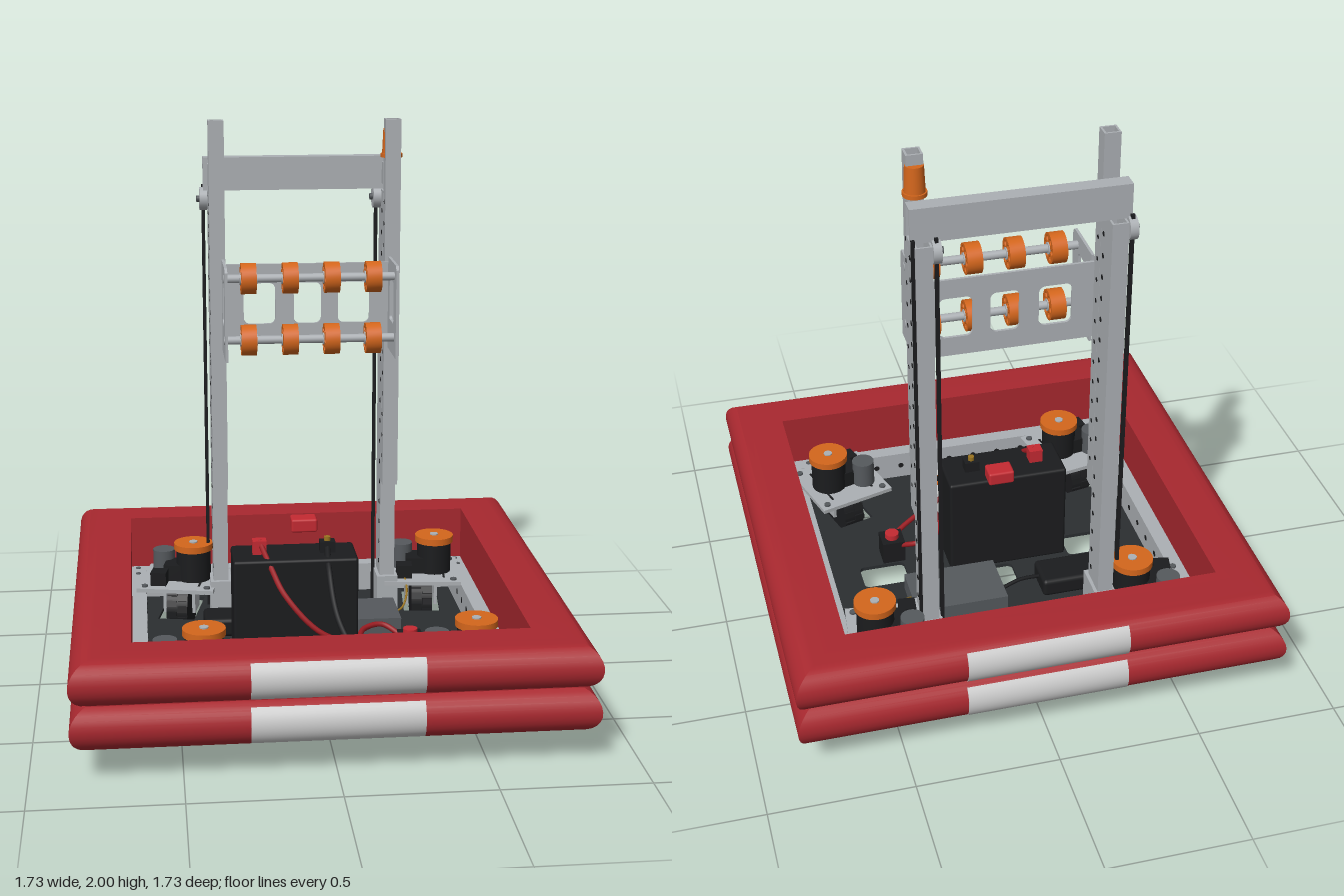
import * as THREE from 'three';
import { toCreasedNormals } from 'three/addons/utils/BufferGeometryUtils.js';
import { RoundedBoxGeometry } from 'three/addons/geometries/RoundedBoxGeometry.js';

const mat = (color) => new THREE.MeshStandardMaterial({ color });
const METAL = mat(0xacb0b4), SILVER = mat(0xcccccc), RED = mat(0xa8282f), ORANGE = mat(0xd4661c);
const BLACK = mat(0x1b1c1e), PAN = mat(0x2b2e31), SLATE = mat(0x55595d), WIRE_RED = mat(0x9c1c22);
const SIGNAL_RED = mat(0xc42a32), YELLOW = mat(0x9a7420), WHITE = mat(0xe8e8e8);

function add(parent, name, geo, material, x = 0, y = 0, z = 0) {
  const m = new THREE.Mesh(geo, material);
  m.name = name;
  m.position.set(x, y, z);
  parent.add(m);
  return m;
}
// box given by its lower and upper corners
function span(parent, name, material, x0, x1, y0, y1, z0, z1) {
  return add(parent, name, new THREE.BoxGeometry(x1 - x0, y1 - y0, z1 - z0), material,
    (x0 + x1) / 2, (y0 + y1) / 2, (z0 + z1) / 2);
}
const cyl = (r, h, n = 32, r2 = r) => new THREE.CylinderGeometry(r2, r, h, n);
const cylX = (r, h, n = 24) => cyl(r, h, n).rotateZ(Math.PI / 2);

// rectangle outline, turned by angle a about its centre
function rect(Type, cx, cy, w, h, a = 0) {
  const pts = [[-1, -1], [1, -1], [1, 1], [-1, 1]].map(([i, j]) =>
    new THREE.Vector2(i * w / 2, j * h / 2).rotateAround(new THREE.Vector2(), a).add(new THREE.Vector2(cx, cy)));
  return new Type(pts);
}
function roundRect(cx, cy, w, h, r) {
  const p = new THREE.Path();
  [[1, 1, 0], [-1, 1, 1], [-1, -1, 2], [1, -1, 3]].forEach(([i, j, q]) =>
    p.absarc(cx + i * (w / 2 - r), cy + j * (h / 2 - r), r, q * Math.PI / 2, (q + 1) * Math.PI / 2));
  p.closePath();
  return p;
}
const extrude = (shape, depth) => new THREE.ExtrudeGeometry(shape, { depth, bevelEnabled: false, curveSegments: 6 });
// hollow rectangular tube running along z
function tubeGeo(w, h, len, wall = 0.007) {
  const s = rect(THREE.Shape, 0, 0, w, h);
  s.holes.push(rect(THREE.Path, 0, 0, w - 2 * wall, h - 2 * wall));
  return extrude(s, len);
}
function wire(parent, name, material, r, pts) {
  const curve = new THREE.CatmullRomCurve3(pts.map((p) => new THREE.Vector3(...p)));
  add(parent, name, new THREE.TubeGeometry(curve, 32, r, 8), material);
}

// corner drive units: centre x, centre z, turn
const DRIVES = [[-0.47, -0.47, -0.2], [0.47, -0.47, -0.1], [-0.465, 0.46, 0.19], [0.47, 0.465, 0.29]];

function buildBumper(root) {
  const g = new THREE.Group();
  g.name = 'bumper';
  root.add(g);
  const arc = (cy, a0, a1, grow = 0) => Array.from({ length: 13 }, (_, i) => {
    const a = THREE.MathUtils.degToRad(a0 + (a1 - a0) * i / 12);
    return new THREE.Vector2(0.785 + (0.078 + grow) * Math.cos(a), cy + (0.078 + grow) * Math.sin(a));
  });
  // padded ring: the section is swept around a square with mitred corners
  const profile = [new THREE.Vector2(0.66, 0.105), ...arc(0.183, -90, 72), ...arc(0.334, -72, 90),
    new THREE.Vector2(0.66, 0.412), new THREE.Vector2(0.66, 0.105)];
  profile.forEach((p) => { p.x *= Math.SQRT2; });
  const ring = new THREE.LatheGeometry(profile, 4, Math.PI / 4);
  add(g, 'bumperPadding', toCreasedNormals(ring, 0.6), RED);
  // pale panels on the front and back
  for (const turn of [0, Math.PI]) for (const cy of [0.183, 0.334]) {
    const outer = arc(cy, -50, 50, 0.003), inner = arc(cy, 50, -50, -0.004);
    const geo = toCreasedNormals(extrude(new THREE.Shape([...outer, ...inner]), 0.565), 0.5);
    geo.translate(0, 0, -0.2825).rotateY(-Math.PI / 2).rotateY(turn);
    add(g, 'bumperPanel', geo, SILVER);
  }
}

function buildChassis(root) {
  const g = new THREE.Group();
  g.name = 'chassis';
  root.add(g);
  const pan = rect(THREE.Shape, 0, 0, 1.32, 1.32);
  pan.holes.push(roundRect(-0.395, 0, 0.17, 0.12, 0.02), roundRect(0.395, 0, 0.17, 0.12, 0.02),
    roundRect(-0.03, 0.11, 0.11, 0.12, 0.02));
  for (const [x, z, a] of DRIVES) pan.holes.push(rect(THREE.Path, x, -z, 0.14, 0.25, a));
  add(g, 'bellyPan', extrude(pan, 0.014).rotateX(-Math.PI / 2), PAN, 0, 0.088, 0);
  for (const s of [-1, 1]) {
    add(g, 'frameSideRail', tubeGeo(0.055, 0.11, 1.32), METAL, s * 0.6325, 0.157, -0.66);
    add(g, 'frameCrossRail', tubeGeo(0.055, 0.11, 1.21).rotateY(Math.PI / 2), METAL, -0.605, 0.157, s * 0.6325);
    for (const t of [-1, 1]) for (const [x, z] of [[0.635, 0.635], [0.635, 0.57], [0.57, 0.635]])
      add(g, 'frameBolt', cyl(0.01, 0.004, 12), SLATE, s * x, 0.213, t * z);
    for (let i = -5; i <= 5; i++) {
      add(g, 'frameHole', cylX(0.011, 0.003, 10), BLACK, s * 0.605, 0.157, i * 0.1);
      add(g, 'frameHole', cyl(0.011, 0.003, 10).rotateX(Math.PI / 2), BLACK, i * 0.1, 0.157, s * 0.605);
    }
  }
}

function buildDrive(root, x, z, turn) {
  const g = new THREE.Group();
  g.name = 'driveUnit';
  g.position.set(x, 0, z);
  g.rotation.y = turn;
  root.add(g);
  span(g, 'drivePlate', METAL, -0.147, 0.147, 0.213, 0.228, -0.147, 0.147);
  for (const i of [-1, 1]) for (const j of [-1, 1]) {
    add(g, 'plateBolt', cyl(0.012, 0.008, 12), SLATE, i * 0.12, 0.231, j * 0.12);
    span(g, 'wheelFork', METAL, i * 0.056 - 0.006, i * 0.056 + 0.006, 0.1, 0.213, -0.05, 0.05);
  }
  for (const s of [-1, 1]) span(g, 'plateSlot', BLACK, s * 0.085 - 0.004, s * 0.085 + 0.004, 0.226, 0.2295, -0.1, 0.1);
  add(g, 'lowerRing', new THREE.RingGeometry(0.1, 0.118, 32).rotateX(Math.PI / 2), METAL, 0, 0.086, 0);
  // treaded wheel
  add(g, 'wheel', cylX(0.107, 0.08, 32), BLACK, 0, 0.112, 0);
  for (let i = 0; i < 16; i++) for (const s of [-1, 1]) {
    const a = (i + (s > 0 ? 0.5 : 0)) * Math.PI / 8;
    const tread = add(g, 'wheelTread', new THREE.BoxGeometry(0.038, 0.012, 0.024), BLACK,
      s * 0.021, 0.112 + 0.106 * Math.cos(a), 0.106 * Math.sin(a));
    tread.rotation.x = a;
  }
  // motors and sensor
  add(g, 'driveMotor', cyl(0.066, 0.125), BLACK, 0.05, 0.29, 0);
  add(g, 'driveMotorCap', cyl(0.074, 0.025), ORANGE, 0.05, 0.36, 0);
  add(g, 'driveMotorShaft', cyl(0.016, 0.006, 16), METAL, 0.05, 0.374, 0);
  span(g, 'motorBridge', BLACK, -0.06, 0.03, 0.228, 0.29, -0.05, 0.05);
  add(g, 'steerMotor', cyl(0.042, 0.1), SLATE, -0.075, 0.275, -0.05);
  span(g, 'sensorBox', BLACK, -0.1, -0.04, 0.228, 0.28, 0.05, 0.11);
}

function buildMast(root) {
  const g = new THREE.Group();
  g.name = 'mast';
  root.add(g);
  const upright = (w, d, h) => tubeGeo(w, d, h).rotateX(-Math.PI / 2);
  for (const s of [-1, 1]) {
    const x = s * 0.32;
    add(g, 'fixedUpright', upright(0.056, 0.112, 1.633), METAL, x, 0.102, -0.414);
    add(g, 'slidingUpright', upright(0.056, 0.056, 1.37), METAL, x, 0.63, -0.328);
    span(g, 'uprightFoot', METAL, x - 0.04, x + 0.04, 0.102, 0.25, -0.49, -0.34);
    for (let i = 0; i < 18; i++) {
      const y = 0.3 + i * 0.08;
      add(g, 'uprightHole', cylX(0.009, 0.059, 10), BLACK, x, y, -0.385);
      if (i > 4) add(g, 'uprightHole', cylX(0.008, 0.058, 10), BLACK, x, y + 0.04, -0.328);
    }
  }
  add(g, 'topCrossbar', tubeGeo(0.056, 0.12, 0.725).rotateY(Math.PI / 2), METAL, -0.365, 1.8, -0.418);
  span(g, 'crossbarBracket', METAL, -0.35, -0.29, 1.76, 1.84, -0.392, -0.354);
  span(g, 'crossbarBracket', METAL, 0.29, 0.35, 1.76, 1.84, -0.392, -0.354);
  // pulleys and lift belts
  for (const x of [-0.364, 0.277]) {
    add(g, 'pulley', cylX(0.042, 0.028), METAL, x, 1.705, -0.44);
    add(g, 'pulleyPin', cylX(0.012, 0.05, 12), SLATE, x, 1.705, -0.44);
  }
  for (const x of [-0.364, 0.277, 0.352])
    span(g, 'liftBelt', BLACK, x - 0.006, x + 0.006, 0.12, 1.755, -0.46, -0.446);
  // signal lamp
  add(g, 'lampBase', cyl(0.04, 0.014), ORANGE, 0.32, 1.867, -0.348);
  add(g, 'signalLamp', cyl(0.035, 0.092, 32, 0.031), ORANGE, 0.32, 1.918, -0.348);
}

function buildCarriage(root) {
  const g = new THREE.Group();
  g.name = 'rollerCarriage';
  root.add(g);
  const back = rect(THREE.Shape, 0, 1.345, 0.61, 0.29);
  for (const [x, w] of [[-0.172, 0.115], [0.003, 0.1], [0.172, 0.115]])
    back.holes.push(roundRect(x, 1.345, w, 0.15, 0.022));
  add(g, 'carriageBack', extrude(back, 0.01), METAL, 0, 0, -0.262);
  // side plates with chamfered corners, drawn as (-z, y)
  const side = new THREE.Shape([[0.04, 1.175], [0.25, 1.175], [0.25, 1.51], [0.055, 1.51], [0.04, 1.495]]
    .map((p) => new THREE.Vector2(...p)));
  side.holes.push(roundRect(0.155, 1.365, 0.1, 0.15, 0.012));
  for (const s of [-1, 1])
    add(g, 'carriageSide', extrude(side, 0.01).rotateY(Math.PI / 2), METAL, s * 0.303 - 0.005, 0, 0);
  // two shafts of soft rollers with spoked cut-outs
  const wheel = new THREE.Shape().absarc(0, 0, 0.055, 0, Math.PI * 2);
  for (let i = 0; i < 6; i++) {
    const a = i * Math.PI / 3;
    wheel.holes.push(new THREE.Path().absarc(0.036 * Math.cos(a), 0.036 * Math.sin(a), 0.011, 0, Math.PI * 2));
  }
  const roller = toCreasedNormals(new THREE.ExtrudeGeometry(wheel,
    { depth: 0.054, bevelEnabled: false, curveSegments: 16 }), 0.7).rotateY(Math.PI / 2).translate(-0.027, 0, 0);
  for (const y of [1.467, 1.245]) {
    add(g, 'rollerShaft', cylX(0.015, 0.62, 16), METAL, 0, y, -0.092);
    for (const x of [-0.222, -0.074, 0.074, 0.222]) {
      add(g, 'roller', roller, ORANGE, x, y, -0.092);
      add(g, 'rollerHub', cylX(0.022, 0.062, 16), METAL, x, y, -0.092);
    }
  }
}

function buildElectronics(root) {
  const g = new THREE.Group();
  g.name = 'electronics';
  root.add(g);
  add(g, 'battery', new RoundedBoxGeometry(0.446, 0.393, 0.19, 2, 0.01), BLACK, -0.075, 0.299, 0.05);
  add(g, 'redTerminal', new THREE.BoxGeometry(0.05, 0.05, 0.045), SIGNAL_RED, -0.2, 0.52, 0.05);
  add(g, 'blackTerminal', new THREE.BoxGeometry(0.055, 0.04, 0.045), BLACK, 0.045, 0.515, 0.05);
  add(g, 'terminalBolt', cyl(0.012, 0.02, 12), YELLOW, 0.045, 0.54, 0.05);
  add(g, 'plugBlock', new RoundedBoxGeometry(0.095, 0.05, 0.072, 2, 0.008), SIGNAL_RED, -0.027, 0.556, -0.09);
  add(g, 'radioBox', new RoundedBoxGeometry(0.245, 0.07, 0.14, 2, 0.015), BLACK, -0.27, 0.137, -0.21);
  span(g, 'controllerBox', SLATE, 0, 0.34, 0.102, 0.17, -0.32, -0.1);
  span(g, 'breaker', BLACK, 0.3, 0.385, 0.102, 0.19, 0.065, 0.15);
  add(g, 'breakerButton', cyl(0.026, 0.02, 24), SIGNAL_RED, 0.342, 0.2, 0.108);
  // power board with two rows of sockets
  span(g, 'powerBoard', WHITE, -0.275, 0.175, 0.102, 0.165, 0.25, 0.525);
  for (const z of [0.33, 0.45]) for (let i = 0; i < 10; i++)
    add(g, 'powerSocket', new THREE.BoxGeometry(0.026, 0.014, 0.052), [2, 5, 7].includes(i) ? SILVER : ORANGE,
      -0.235 + i * 0.0405, 0.167, z);
  // wiring
  wire(g, 'redCable', WIRE_RED, 0.01, [[-0.2, 0.54, 0.05], [-0.165, 0.47, 0.14], [-0.12, 0.39, 0.22],
    [0, 0.27, 0.275], [0.15, 0.21, 0.25], [0.31, 0.17, 0.16], [0.335, 0.16, 0.13]]);
  wire(g, 'redCable', WIRE_RED, 0.01, [[0.33, 0.16, 0.09], [0.25, 0.2, 0.035], [0.18, 0.2, 0.07],
    [0.15, 0.2, 0.2], [0.165, 0.19, 0.3], [0.17, 0.16, 0.38]]);
  wire(g, 'blackCable', BLACK, 0.011, [[0.045, 0.52, 0.05], [0.04, 0.46, 0.16], [0.06, 0.32, 0.28], [0.15, 0.16, 0.46]]);
  wire(g, 'blackCable', BLACK, 0.007, [[-0.16, 0.15, -0.21], [-0.07, 0.16, -0.225], [0.01, 0.15, -0.25]]);
  wire(g, 'signalWire', YELLOW, 0.004, [[0.39, 0.25, -0.42], [0.39, 0.2, -0.3], [0.36, 0.16, -0.23], [0.32, 0.15, -0.21]]);
  wire(g, 'signalWire', YELLOW, 0.004, [[-0.04, 0.15, 0.14], [-0.05, 0.17, 0.2], [-0.05, 0.15, 0.26]]);
}

export function createModel() {
  const root = new THREE.Group();
  root.name = 'wheeledRobot';
  buildBumper(root);
  buildChassis(root);
  for (const d of DRIVES) buildDrive(root, ...d);
  buildMast(root);
  buildCarriage(root);
  buildElectronics(root);
  return root;
}
